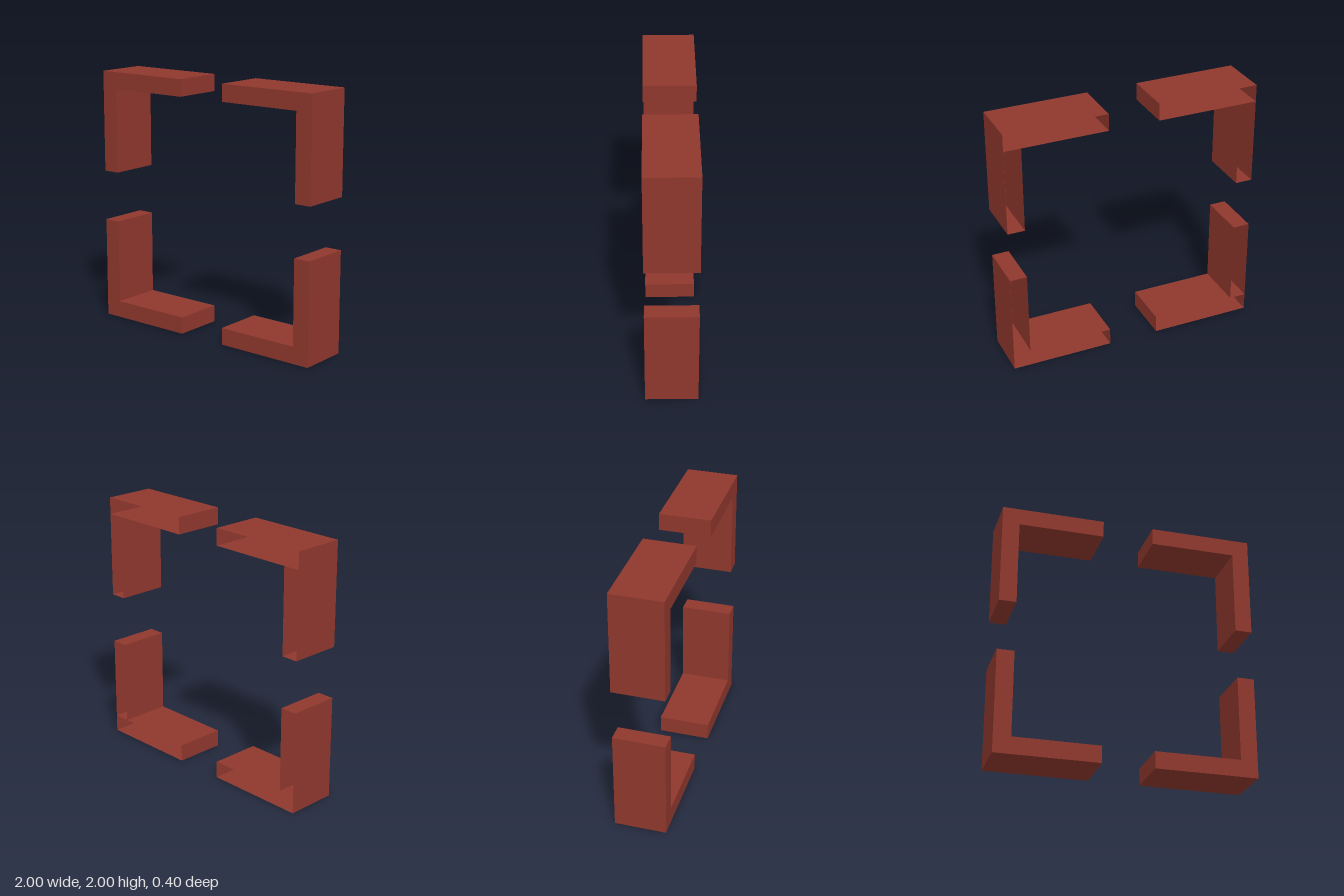
import * as THREE from 'three';

const OUTER = 1, GAP = 0.2, THICK = 0.133, DEPTH = 0.4;

// Thin-walled box, open at the back
function openBox(w, h) {
  const g = new THREE.BoxGeometry(w, h, DEPTH);
  g.setIndex(Array.from(g.index.array).slice(0, 30)); // drop the -z face
  g.clearGroups();
  return g;
}

export function createModel() {
  const model = new THREE.Group();
  model.name = 'cornerBrackets';
  const material = new THREE.MeshStandardMaterial({ color: 0x8f372d, side: THREE.DoubleSide });

  const armLength = OUTER - GAP;
  const legLength = armLength - THICK;
  const armGeometry = openBox(armLength, THICK);
  const legGeometry = openBox(THICK, legLength);

  // Four L-shaped brackets, mirrored left/right and top/bottom
  for (const sy of [1, -1]) {
    for (const sx of [1, -1]) {
      const bracket = new THREE.Group();
      bracket.name = (sy > 0 ? 'top' : 'bottom') + (sx > 0 ? 'Left' : 'Right') + 'Bracket';
      bracket.position.y = OUTER;

      // Horizontal arm runs the full length, including the corner
      const arm = new THREE.Mesh(armGeometry, material);
      arm.name = 'horizontalArm';
      arm.position.set(sx * (GAP + armLength / 2), sy * (OUTER - THICK / 2), 0);

      // Vertical leg butts against the arm
      const leg = new THREE.Mesh(legGeometry, material);
      leg.name = 'verticalLeg';
      leg.position.set(sx * (OUTER - THICK / 2), sy * (GAP + legLength / 2), 0);

      bracket.add(arm, leg);
      model.add(bracket);
    }
  }
  return model;
}
